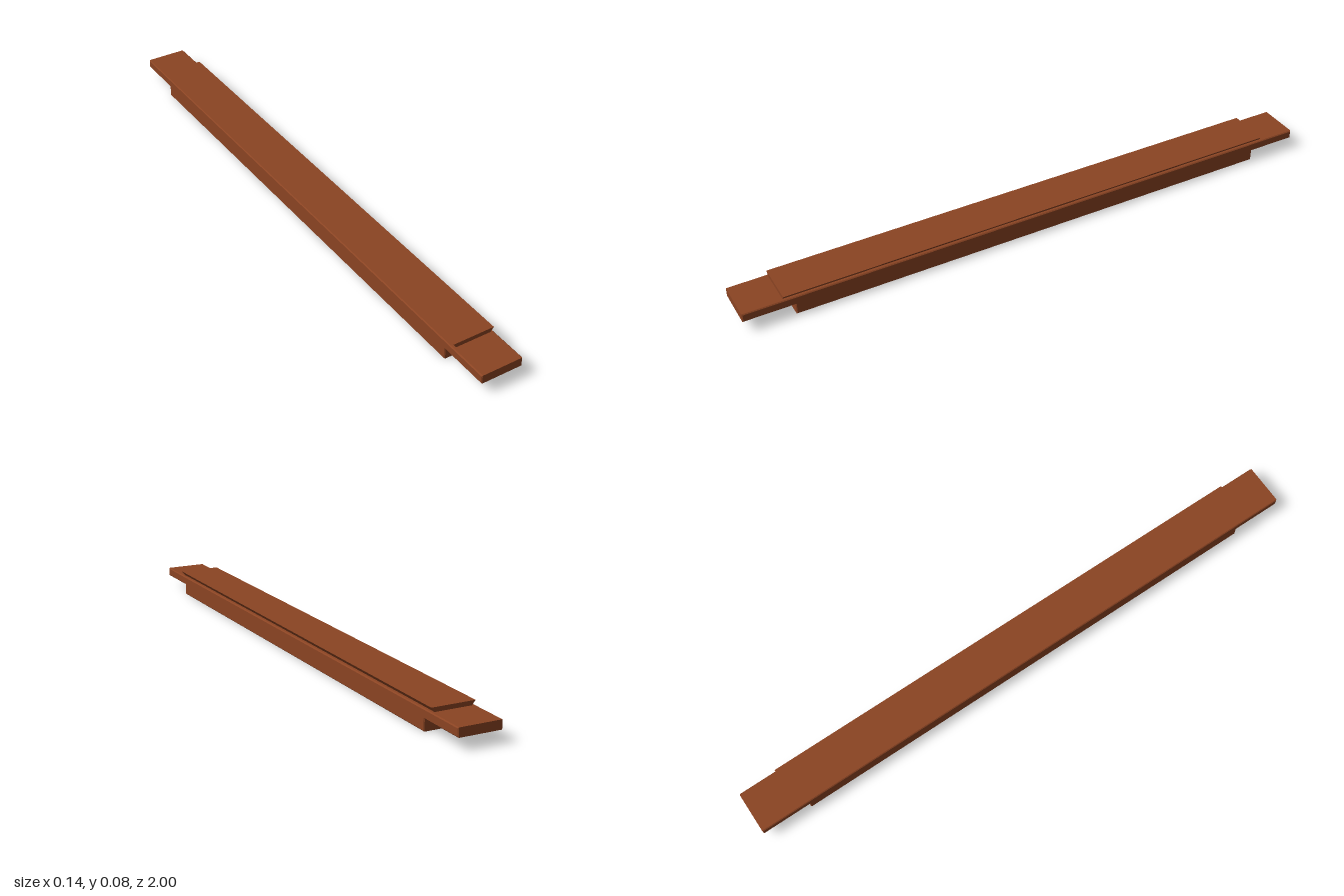
import * as THREE from 'three';

// Extrude a closed 2D outline, centred on its depth
function extrudeCentred(points, depth, bevel) {
  const shape = new THREE.Shape(points.map(([x, y]) => new THREE.Vector2(x, y)));
  const geo = new THREE.ExtrudeGeometry(shape, {
    depth: depth - 2 * bevel,
    bevelEnabled: bevel > 0,
    bevelSize: bevel,
    bevelThickness: bevel,
    bevelOffset: -bevel,
    bevelSegments: 1,
  });
  geo.translate(0, 0, bevel - depth / 2);
  return geo;
}

export function createModel() {
  const group = new THREE.Group();
  const wood = new THREE.MeshStandardMaterial({ color: 0x8b4423 });
  wood.name = 'reddish brown wood';

  // Beam with a thin tongue at each end, edges lightly chamfered
  const beamGeo = extrudeCentred([
    [-0.835, 0], [0.835, 0], [0.835, 0.037], [1, 0.037],
    [1, 0.066], [-1, 0.066], [-1, 0.037], [-0.835, 0.037],
  ], 0.142, 0.003);
  beamGeo.rotateY(Math.PI / 2);
  const beam = new THREE.Mesh(beamGeo, wood);
  beam.name = 'beamWithTongues';

  // Dovetail rail on top, wider at its upper face
  const railGeo = extrudeCentred([
    [-0.059, 0.065], [0.059, 0.065], [0.071, 0.08], [-0.071, 0.08],
  ], 1.74, 0);
  const rail = new THREE.Mesh(railGeo, wood);
  rail.name = 'dovetailRail';

  group.add(beam, rail);
  return group;
}
